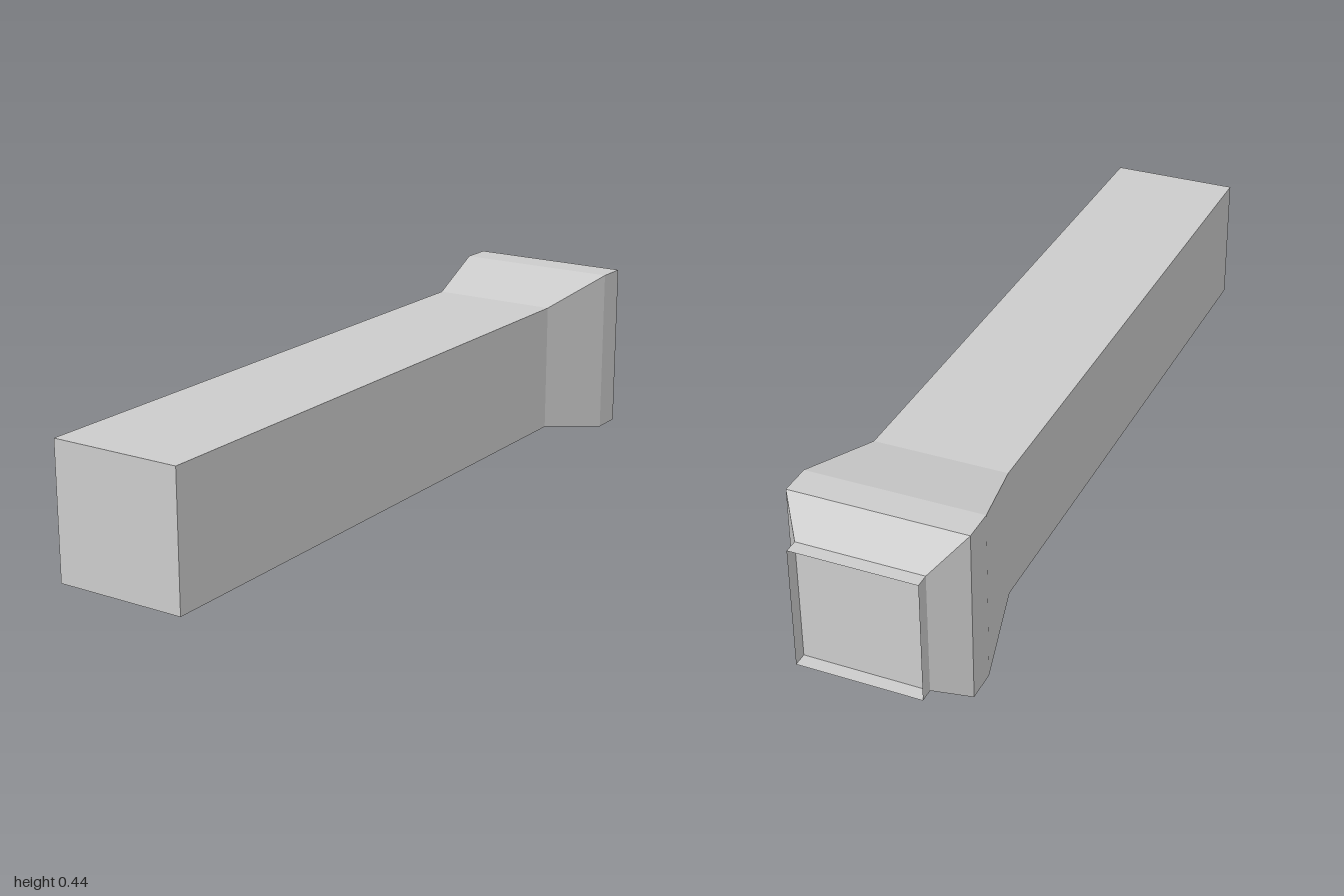
import * as THREE from 'three';

const CENTRE_Y = 0.218;

// Square-section part: profile points are [half width, distance towards the back].
function squarePart(name, profile, side = THREE.FrontSide) {
  const points = profile.map(([half, d]) => new THREE.Vector2(half * Math.SQRT2, d));
  const geometry = new THREE.LatheGeometry(points, 4, Math.PI / 4);
  geometry.rotateX(-Math.PI / 2); // lathe axis runs from front (+z) to back (-z)
  const material = new THREE.MeshStandardMaterial({ color: 0xcccccc, flatShading: true, side });
  const mesh = new THREE.Mesh(geometry, material);
  mesh.name = name;
  mesh.position.y = CENTRE_Y;
  return mesh;
}

export function createModel() {
  const group = new THREE.Group();
  group.name = 'squareBar';

  // Long straight shaft, closed at the front
  group.add(squarePart('shaft', [[0, -1], [0.167, -1], [0.167, 0.57]]));

  // Flared head: taper out, short flat band, bevel in, flat back panel
  group.add(squarePart('flaredHead', [
    [0.167, 0.57], [0.218, 0.8], [0.218, 0.88], [0.154, 0.965], [0, 0.965],
  ]));

  // Thin open rim around the recessed back panel
  group.add(squarePart('backRim', [[0.154, 0.965], [0.154, 1]], THREE.DoubleSide));

  return group;
}
